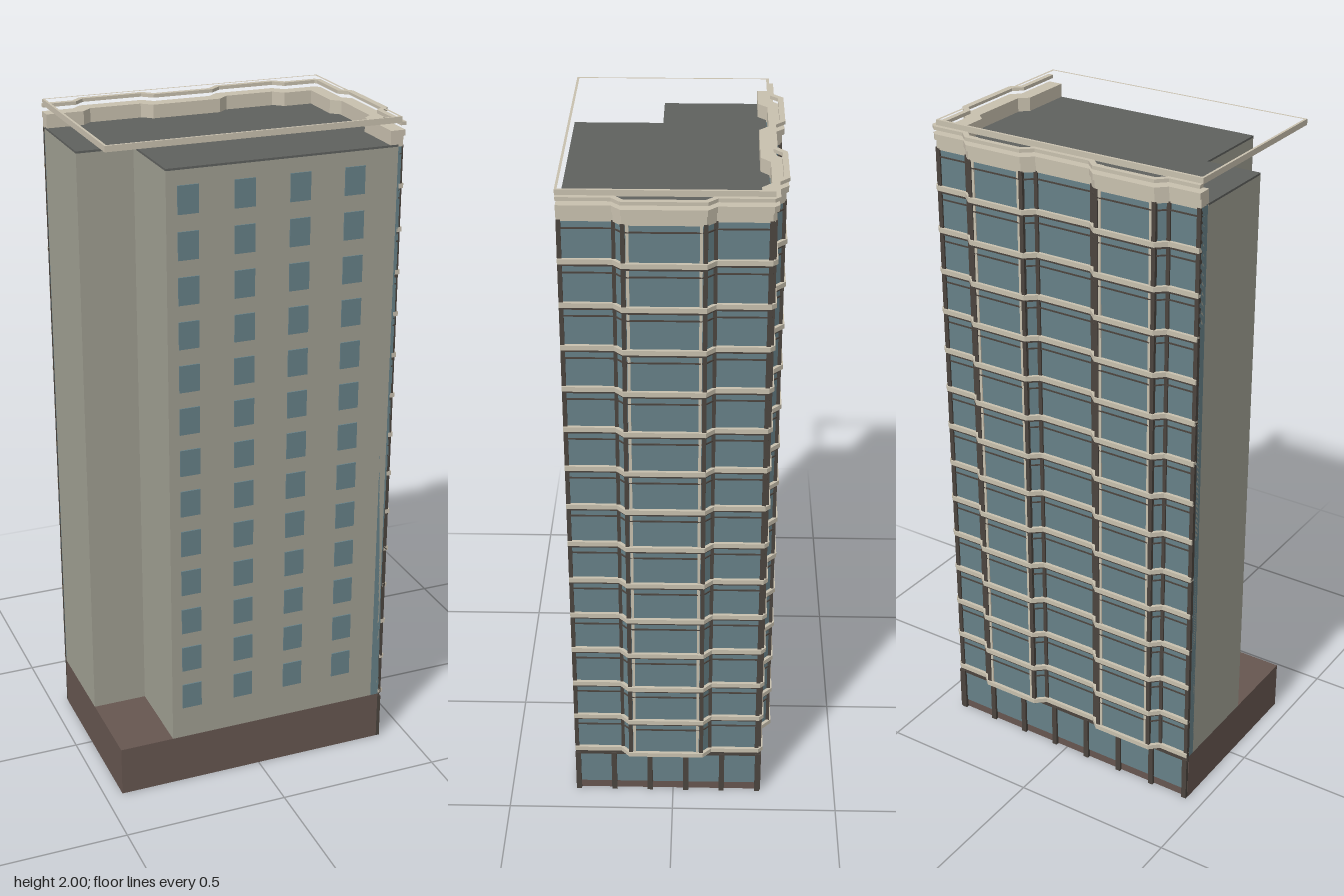
import * as THREE from 'three';

const mat = (color) => new THREE.MeshStandardMaterial({ color });
const WALL = mat(0xa09f92), GLASS = mat(0x668087), STONE = mat(0xc8c0ae);
const BROWN = mat(0x665650), ROOF = mat(0x5f615e), FRAME = mat(0x4b443e);

// Facade line in plan (x, z): right side front to back, then back side right to left
const bayZ = -0.292, backZ = -0.265;
const PLAN = [
  [0.41, 0.3], [0.41, 0.152], [0.436, 0.128], [0.436, -0.087], [0.41, -0.112],
  [0.41, -0.257], [0.402, backZ],
  [0.303, backZ], [0.274, bayZ], [0.101, bayZ], [0.07, backZ],
  [-0.112, backZ], [-0.141, bayZ], [-0.322, bayZ], [-0.35, backZ], [-0.447, backZ],
];

// Facade line moved outward by d, with mitred corners
function offsetPlan(d) {
  const normal = (a, b) => {
    const dx = b[0] - a[0], dz = b[1] - a[1], l = Math.hypot(dx, dz);
    return [-dz / l, dx / l];
  };
  return PLAN.map((p, i) => {
    const n1 = normal(PLAN[Math.max(i - 1, 0)], PLAN[Math.max(i, 1)]);
    const last = PLAN.length - 1;
    const n2 = normal(PLAN[Math.min(i, last - 1)], PLAN[Math.min(i + 1, last)]);
    const k = d / (1 + n1[0] * n2[0] + n1[1] * n2[1]);
    return [p[0] + (n1[0] + n2[0]) * k, p[1] + (n1[1] + n2[1]) * k];
  });
}

// Prism standing on a plan outline
function prism(points, y0, y1, hole) {
  const toV = ([x, z]) => new THREE.Vector2(x, -z);
  const shape = new THREE.Shape(points.map(toV));
  if (hole) shape.holes.push(new THREE.Path(hole.map(toV)));
  const geo = new THREE.ExtrudeGeometry(shape, { depth: y1 - y0, bevelEnabled: false });
  return geo.rotateX(-Math.PI / 2).translate(0, y0, 0);
}

const rect = (x0, x1, z0, z1) => [[x0, z0], [x1, z0], [x1, z1], [x0, z1]];

export function createModel() {
  const model = new THREE.Group();
  const add = (name, geo, material) => {
    const mesh = new THREE.Mesh(geo, material);
    mesh.name = name;
    model.add(mesh);
    return mesh;
  };
  const box = (name, material, x0, x1, y0, y1, z0, z1) =>
    add(name, new THREE.BoxGeometry(x1 - x0, y1 - y0, z1 - z0)
      .translate((x0 + x1) / 2, (y0 + y1) / 2, (z0 + z1) / 2), material);
  // Strip following both bayed facades
  const strip = (name, material, inner, outer, y0, y1) =>
    add(name, prism([...offsetPlan(outer), ...offsetPlan(inner).reverse()], y0, y1), material);

  const baseTop = 0.155, roofY = 1.92, floors = 14;
  const floorH = (roofY - baseTop) / floors;

  // Ground floor block
  box('base', BROWN, -0.447, 0.405, 0, baseTop, -0.26, 0.3);
  // Shop windows and their pilasters on the right and back
  box('rightShopGlass', GLASS, 0.4, 0.408, 0.028, 0.14, -0.255, 0.295);
  box('backShopGlass', GLASS, -0.44, 0.4, 0.028, 0.14, -0.263, -0.255);
  for (let i = 0; i < 6; i++) {
    const z = 0.292 - i * 0.1105;
    box('rightPilaster', FRAME, 0.4, 0.416, 0, 0.145, z - 0.008, z + 0.008);
  }
  for (let i = 0; i < 8; i++) {
    const x = -0.438 + i * 0.12;
    box('backPilaster', FRAME, x - 0.008, x + 0.008, 0, 0.145, -0.271, -0.255);
  }
  box('rightShopLintel', FRAME, 0.4, 0.412, 0.138, baseTop, -0.265, 0.299);
  box('backShopLintel', FRAME, -0.447, 0.41, 0.138, baseTop, -0.267, -0.255);

  // Tower with a cut-out front corner
  const body = [[-0.447, -0.255], [0.4, -0.255], [0.4, 0.3], [-0.282, 0.3], [-0.282, 0.043], [-0.447, 0.043]];
  add('tower', prism(body, baseTop, roofY - 0.004), WALL);
  add('roof', prism(body, roofY - 0.004, roofY + 0.002), ROOF);

  // Windows of the plain front wall
  for (let row = 0; row < 13; row++) {
    for (const x of [-0.22, -0.056, 0.107, 0.27]) {
      const y = 0.298 + row * 0.128;
      box('frontWindow', GLASS, x - 0.03, x + 0.03, y - 0.04, y + 0.04, 0.29, 0.304);
    }
  }

  // Glazed facades with floor bands and window rails
  strip('facadeGlass', GLASS, -0.03, 0, baseTop, roofY);
  for (let i = 0; i < floors; i++) {
    const y = baseTop + i * floorH;
    strip('floorBand', STONE, -0.005, 0.01, y + 0.003, y + 0.017);
    strip('sillRail', FRAME, -0.005, 0.004, y - (i ? 0.005 : 0), y + 0.003);
    strip('transom', FRAME, -0.005, 0.003, y + 0.1, y + 0.104);
  }

  // Upright posts at every bend of the facades
  offsetPlan(-0.001).forEach(([x, z], i) => {
    const px = i === PLAN.length - 1 ? x + 0.006 : x;
    const pz = i === 0 ? z - 0.006 : z;
    box('post', FRAME, px - 0.006, px + 0.006, baseTop, roofY, pz - 0.006, pz + 0.006);
  });
  // Stone edging beside the bay fronts
  for (const [x, z] of [[0.436, 0.116], [0.436, -0.075]])
    box('bayEdge', STONE, x - 0.006, x + 0.003, baseTop, roofY, z - 0.004, z + 0.004);
  for (const x of [0.263, 0.112, -0.152, -0.311])
    box('bayEdge', STONE, x - 0.004, x + 0.004, baseTop, roofY, bayZ - 0.003, bayZ + 0.006);

  // Stepped cornice
  strip('corniceFrieze', STONE, -0.034, 0.004, roofY - 0.004, 1.945);
  strip('corniceLedge', STONE, -0.034, 0.01, 1.945, 1.962);
  strip('corniceCap', STONE, -0.004, 0.012, 1.975, 1.985);

  // Rectangular frame over the whole plan
  add('roofFrame', prism(rect(-0.448, 0.408, -0.264, 0.302), 1.983, 2, rect(-0.441, 0.4, -0.256, 0.295)), STONE);

  return model;
}
